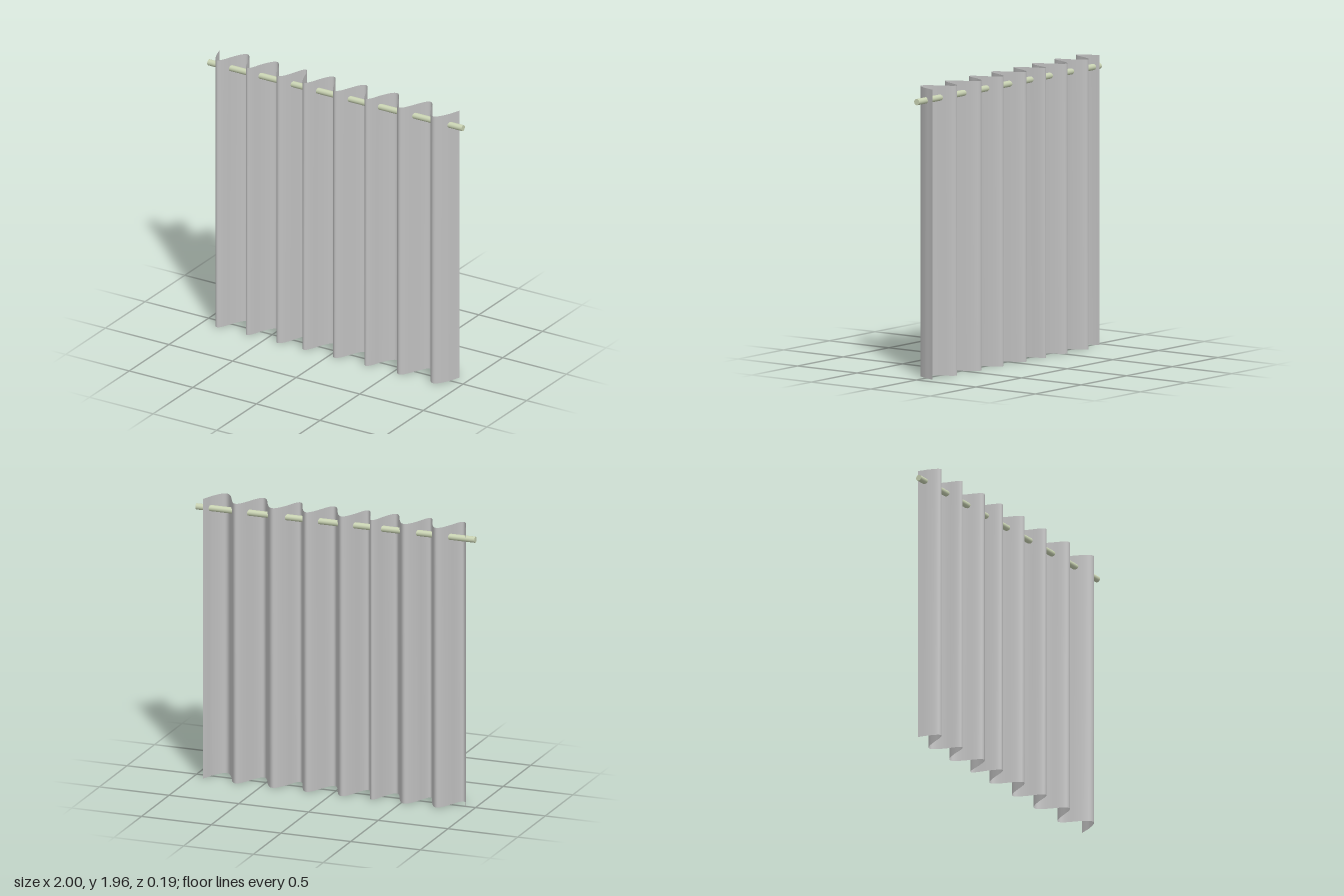
import * as THREE from 'three';

// x positions where the cloth passes the rod line; folds alternate back and front
const crossings = [-1.01, -0.932, -0.822, -0.688, -0.592, -0.455, -0.337, -0.246, -0.139,
  -0.011, 0.112, 0.241, 0.348, 0.492, 0.62, 0.749, 0.898, 0.99];
const DEPTH = 0.095, TOP = 1.957, LEFT = -0.945, RIGHT = 0.925;

function foldDepth(x) {
  let i = 0;
  while (i < crossings.length - 2 && x > crossings[i + 1]) i++;
  const t = (x - crossings[i]) / (crossings[i + 1] - crossings[i]);
  return DEPTH * Math.sin(Math.PI * t) * (i % 2 ? 1 : -1);
}

export function createModel() {
  const group = new THREE.Group();
  group.name = 'curtainOnRod';

  const clothMat = new THREE.MeshStandardMaterial({ color: 0xc0c0c0, side: THREE.DoubleSide });
  clothMat.name = 'grey cloth';
  const rodMat = new THREE.MeshStandardMaterial({ color: 0xc8d2b2 });
  rodMat.name = 'pale green rod';

  // pleated cloth: a flat sheet pushed into folds
  const sheet = new THREE.PlaneGeometry(RIGHT - LEFT, TOP, 260, 1);
  sheet.translate((LEFT + RIGHT) / 2, TOP / 2, 0);
  const pos = sheet.attributes.position;
  for (let i = 0; i < pos.count; i++) pos.setZ(i, foldDepth(pos.getX(i)));
  sheet.computeVertexNormals();
  const curtain = new THREE.Mesh(sheet, clothMat);
  curtain.name = 'curtain';
  group.add(curtain);

  // rod threaded through the folds
  const rod = new THREE.Mesh(new THREE.CylinderGeometry(0.021, 0.021, 2, 24), rodMat);
  rod.name = 'rod';
  rod.rotation.z = Math.PI / 2;
  rod.position.set(0, 1.875, -0.002);
  group.add(rod);

  return group;
}
